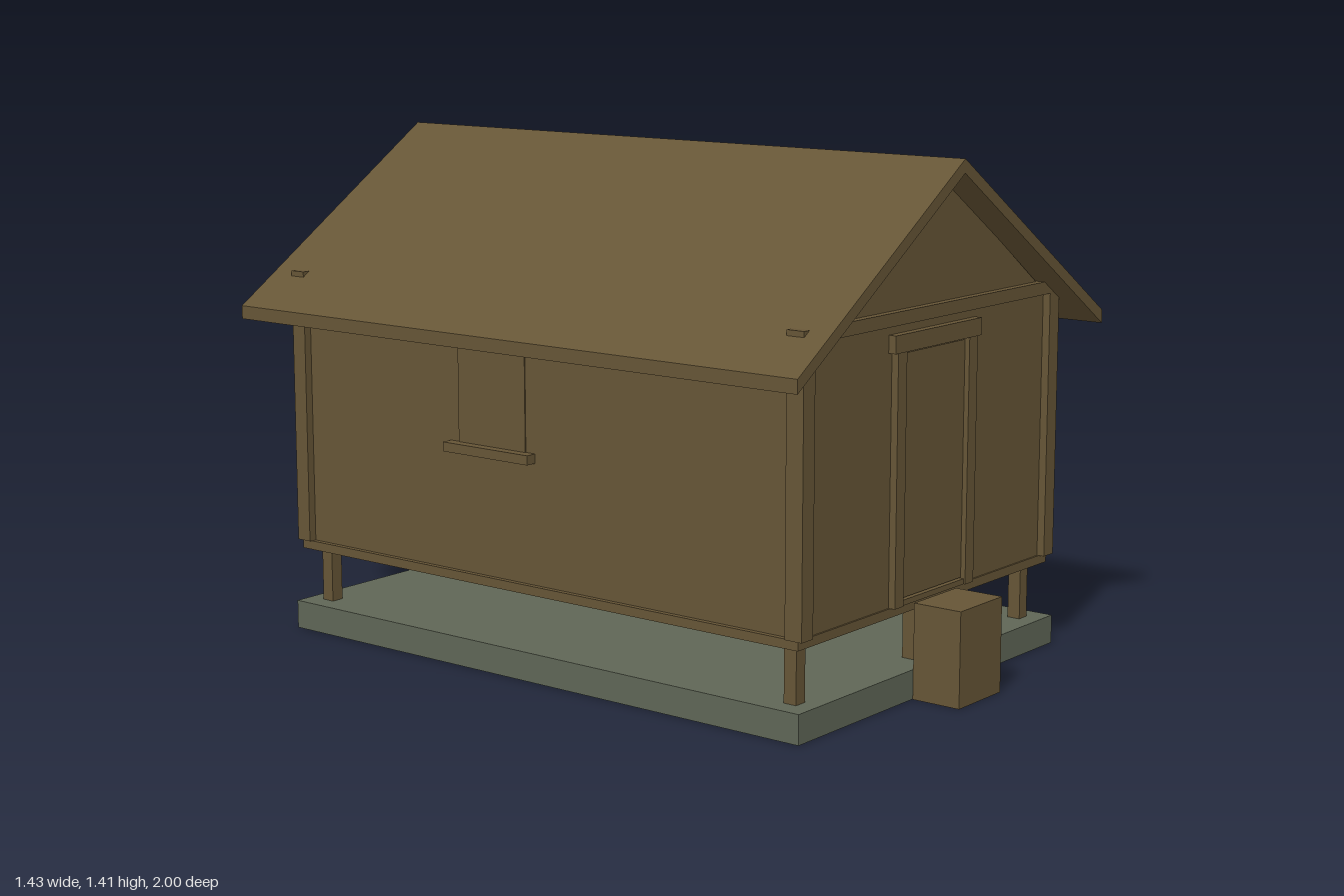
import * as THREE from 'three';

const wood = new THREE.MeshStandardMaterial({ color: 0x665536 });
wood.name = 'brown wood';
const stone = new THREE.MeshStandardMaterial({ color: 0x5f6656 });
stone.name = 'grey green stone';

export function createModel() {
  const model = new THREE.Group();
  model.name = 'woodenHut';

  // Box given by its minimum and maximum on each axis
  const box = (name, x0, x1, y0, y1, z0, z1, material = wood) => {
    const mesh = new THREE.Mesh(new THREE.BoxGeometry(x1 - x0, y1 - y0, z1 - z0), material);
    mesh.position.set((x0 + x1) / 2, (y0 + y1) / 2, (z0 + z1) / 2);
    mesh.name = name;
    model.add(mesh);
    return mesh;
  };

  // Outline in x and y, extruded from z0 to z1
  const prism = (name, points, z0, z1) => {
    const shape = new THREE.Shape(points.map(([x, y]) => new THREE.Vector2(x, y)));
    const geometry = new THREE.ExtrudeGeometry(shape, { depth: z1 - z0, bevelEnabled: false });
    geometry.translate(0, 0, z0);
    const mesh = new THREE.Mesh(geometry, wood);
    mesh.name = name;
    model.add(mesh);
  };

  // Hollow foundation: top plate and skirt
  box('foundationTop', -0.605, 0.605, 0.07, 0.08, -0.925, 0.855, stone);
  for (const s of [-1, 1]) {
    const x = s * 0.6;
    box('foundationSideSkirt', x - 0.005, x + 0.005, 0, 0.07, -0.925, 0.855, stone);
  }
  box('foundationFrontSkirt', -0.595, 0.595, 0, 0.07, 0.845, 0.855, stone);
  box('foundationBackSkirt', -0.595, 0.595, 0, 0.07, -0.925, -0.915, stone);

  // Piles and floor
  for (const x of [-0.53, 0, 0.53]) {
    for (const z of [-0.857, 0.787]) box('pile', x - 0.019, x + 0.019, 0, 0.235, z - 0.019, z + 0.019);
  }
  box('floor', -0.59, 0.59, 0.235, 0.26, -0.91, 0.84);

  // Walls with gables
  prism('walls', [[-0.575, 0.26], [0.575, 0.26], [0.575, 0.99], [0, 1.385], [-0.575, 0.99]], -0.9, 0.835);

  // Corner boards, whose tops reach through the roof
  for (const s of [-1, 1]) {
    const x0 = s > 0 ? 0.55 : -0.598;
    box('frontCornerPost', x0, x0 + 0.048, 0.26, 1.035, 0.805, 0.857);
    box('backCornerPost', x0, x0 + 0.048, 0.26, 1.035, -0.922, -0.875);
  }
  box('frontTieBeam', -0.55, 0.55, 1.0, 1.035, 0.81, 0.857);

  // Roof
  prism('roof', [
    [-0.717, 0.905], [0, 1.375], [0.717, 0.905],
    [0.717, 0.942], [0, 1.412], [-0.717, 0.942],
  ], -1, 0.925);

  // Door and frame
  box('door', -0.145, 0.145, 0.278, 0.922, 0.83, 0.842);
  box('doorSill', -0.148, 0.148, 0.26, 0.275, 0.83, 0.85);
  for (const s of [-1, 1]) {
    box('doorJamb', s * 0.167 - 0.02, s * 0.167 + 0.02, 0.26, 0.928, 0.83, 0.855);
  }
  box('doorHead', -0.202, 0.202, 0.928, 0.975, 0.83, 0.857);
  box('step', -0.1, 0.1, 0, 0.26, 0.857, 1);

  // Window shutters with a rail above and below, offset along each side
  for (const [s, z] of [[1, 0.05], [-1, -0.185]]) {
    const rail = (name, y0, y1, depth) => {
      const a = s * 0.56, b = s * depth;
      box(name, Math.min(a, b), Math.max(a, b), y0, y1, z - 0.152, z + 0.152);
    };
    rail('sideUpperRail', 0.885, 0.912, 0.602);
    rail('sideLowerRail', 0.592, 0.618, 0.607);
    box('sideShutter', s * 0.575 - 0.003, s * 0.575 + 0.003, 0.618, 0.885, z - 0.12, z + 0.12);
  }
  box('backUpperRail', -0.165, 0.165, 0.885, 0.912, -0.924, -0.89);
  box('backLowerRail', -0.165, 0.165, 0.592, 0.618, -0.93, -0.89);

  // Small plate beside the left back corner
  box('cornerPlate', 0.57, 0.596, 0.3, 0.51, -0.88, -0.865, stone);

  return model;
}
